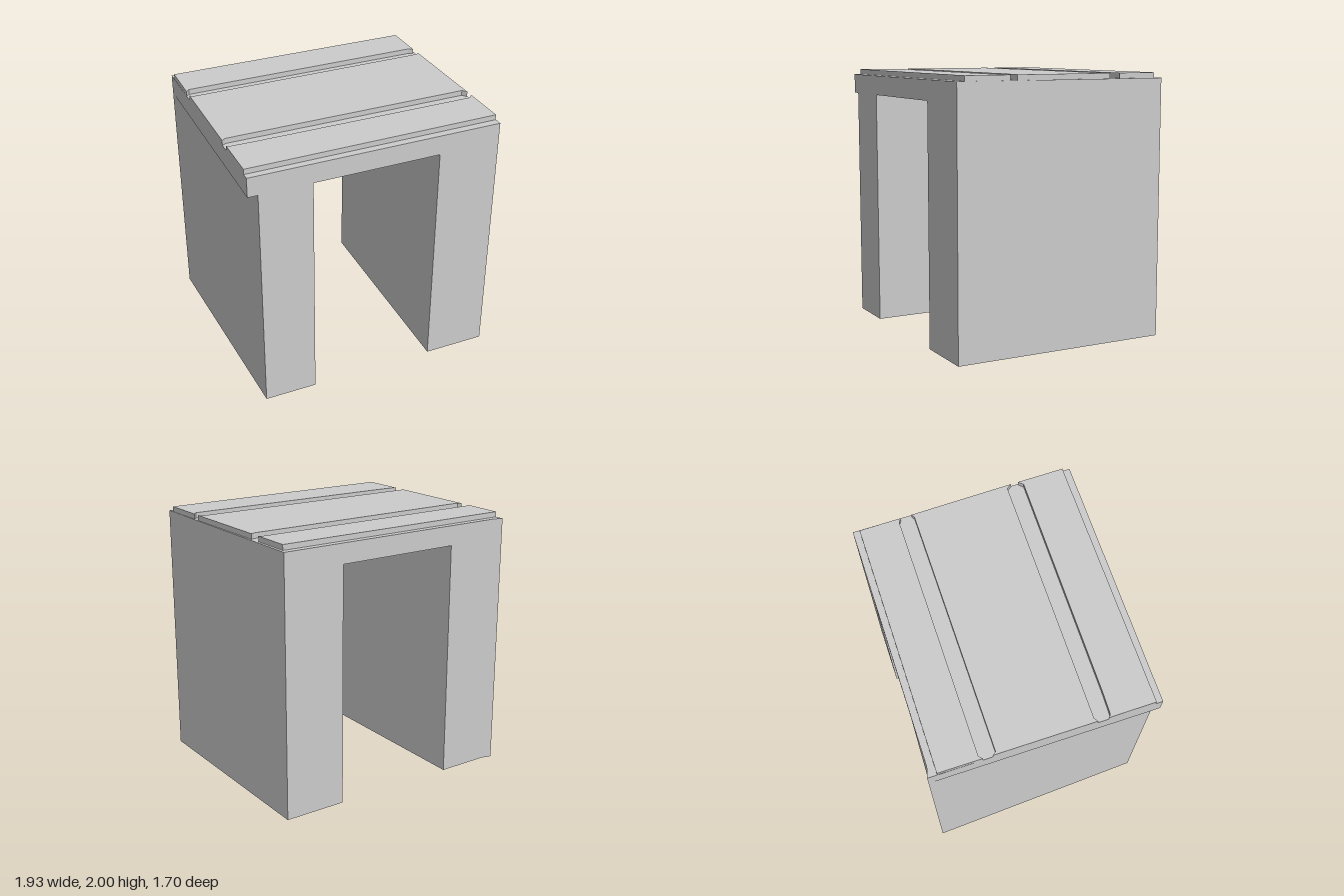
import * as THREE from 'three';

const material = new THREE.MeshStandardMaterial({ color: 0xcccccc, flatShading: true });

// Upright prism from an [x, z] outline, between two heights
function prism(name, outline, bottom, top) {
  const shape = new THREE.Shape(outline.map(([x, z]) => new THREE.Vector2(x, -z)));
  const geometry = new THREE.ExtrudeGeometry(shape, { depth: top - bottom, bevelEnabled: false });
  geometry.rotateX(-Math.PI / 2).translate(0, bottom, 0);
  const mesh = new THREE.Mesh(geometry, material);
  mesh.name = name;
  return mesh;
}

export function createModel() {
  const group = new THREE.Group();
  group.name = 'archBlock';
  const underside = 1.81, deck = 1.96, top = 2;

  // Walls: the right one is tapered, with a flared back corner
  group.add(prism('leftWall',
    [[0.485, 0.85], [0.963, 0.85], [0.963, -0.83], [0.485, -0.83]], 0, underside));
  group.add(prism('rightWall',
    [[-0.885, 0.85], [-0.485, 0.85], [-0.485, -0.83], [-0.89, -0.83], [-0.967, -0.85]], 0, underside));

  // Slab spanning the opening
  group.add(prism('slab',
    [[-0.96, 0.85], [0.963, 0.85], [0.963, -0.83], [-0.89, -0.83], [-0.967, -0.85]], underside, deck));

  // Planks, with small splayed tips narrowing the grooves at the ends
  group.add(prism('frontPlank',
    [[-0.96, 0.797], [0.96, 0.79], [0.957, 0.44], [0.925, 0.475], [-0.77, 0.47], [-0.94, 0.465], [-0.963, 0.45]], deck, top));
  group.add(prism('middlePlank',
    [[-0.963, 0.37], [-0.935, 0.35], [0.93, 0.35], [0.957, 0.385], [0.945, -0.385], [0.92, -0.37],
      [-0.945, -0.36], [-0.965, -0.385]], deck, top));
  group.add(prism('backPlank',
    [[-0.965, -0.455], [-0.94, -0.48], [0.91, -0.487], [0.943, -0.47], [0.94, -0.78], [-0.965, -0.78]], deck, top));

  return group;
}
